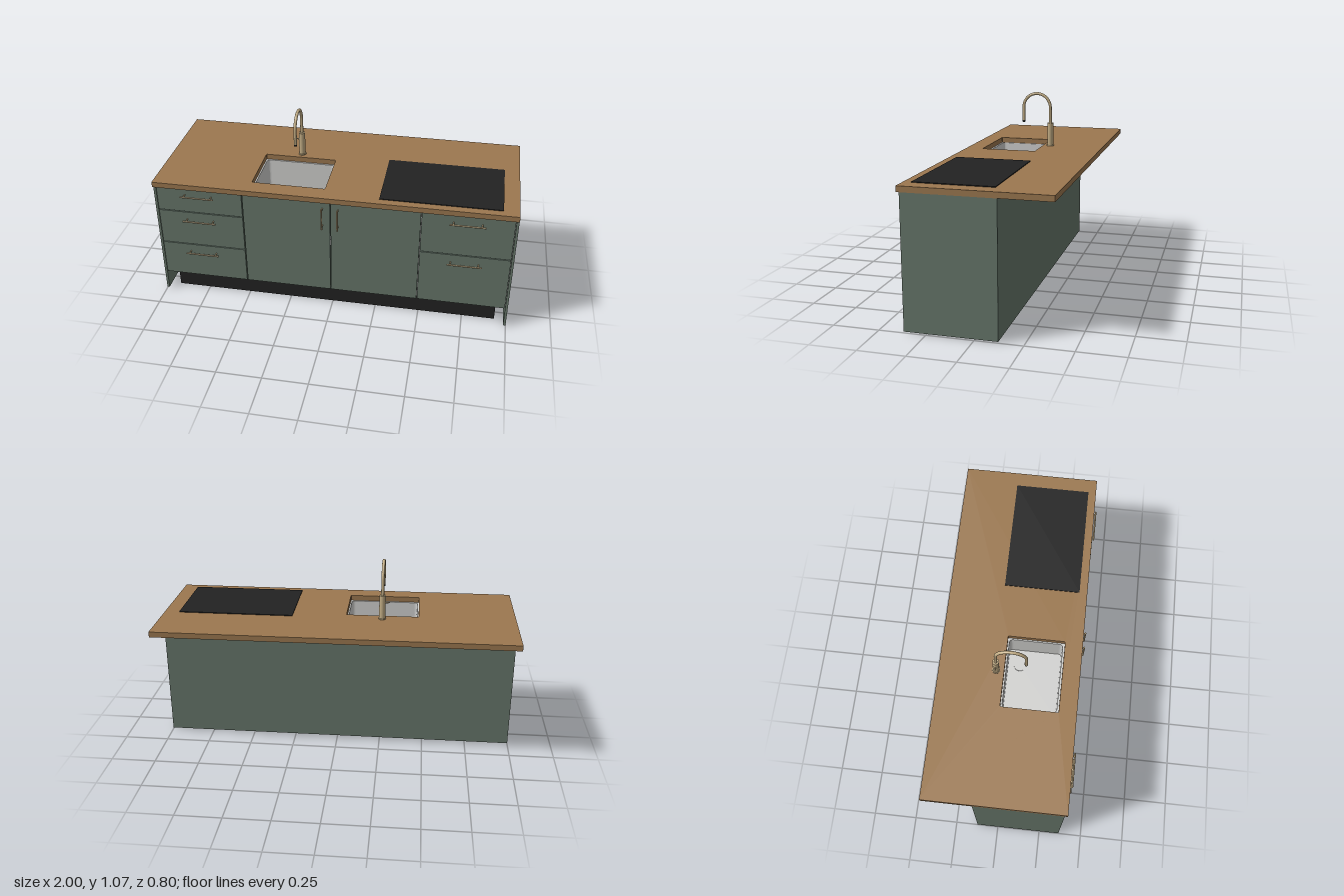
import * as THREE from 'three';

const mat = (name, color, extra = {}) => Object.assign(new THREE.MeshStandardMaterial({ color, ...extra }), { name });

export function createModel() {
  const green = mat('sage green paint', 0x67776b);
  const wood = mat('oak worktop', 0x9c7850);
  const black = mat('matt black', 0x222222);
  const brass = mat('brushed brass', 0xc2ad85);
  const steel = mat('sink steel', 0xd2d2d0);
  const grey = mat('carcass grey', 0xa8a8a8);

  const island = new THREE.Group();
  island.name = 'kitchenIsland';

  const add = (name, geo, material, parent = island) => {
    const mesh = new THREE.Mesh(geo, material);
    mesh.name = name;
    parent.add(mesh);
    return mesh;
  };
  // Box given by its extents on each axis
  const box = (name, m, x0, x1, y0, y1, z0, z1, parent) => {
    const mesh = add(name, new THREE.BoxGeometry(x1 - x0, y1 - y0, z1 - z0), m, parent);
    mesh.position.set((x0 + x1) / 2, (y0 + y1) / 2, (z0 + z1) / 2);
    return mesh;
  };
  // Rod between two points
  const rod = (name, m, a, b, r, parent, sides = 16) => {
    const p = new THREE.Vector3(...a), q = new THREE.Vector3(...b);
    const mesh = add(name, new THREE.CylinderGeometry(r, r, p.distanceTo(q), sides), m, parent);
    mesh.position.copy(p).add(q).multiplyScalar(0.5);
    mesh.quaternion.setFromUnitVectors(new THREE.Vector3(0, 1, 0), q.sub(p).normalize());
    return mesh;
  };
  // Rectangle in x and z with rounded corners
  const outline = (path, x0, x1, z0, z1, r) => {
    path.moveTo(x0 + r, z0).lineTo(x1 - r, z0).quadraticCurveTo(x1, z0, x1, z0 + r);
    path.lineTo(x1, z1 - r).quadraticCurveTo(x1, z1, x1 - r, z1);
    path.lineTo(x0 + r, z1).quadraticCurveTo(x0, z1, x0, z1 - r);
    path.lineTo(x0, z0 + r).quadraticCurveTo(x0, z0, x0 + r, z0);
    return path;
  };
  // Horizontal slab with a hole, hanging down from its top height
  const slab = (name, m, outer, hole, top, depth) => {
    const shape = outline(new THREE.Shape(), ...outer);
    shape.holes.push(outline(new THREE.Path(), ...hole));
    const geo = new THREE.ExtrudeGeometry(shape, { depth, bevelEnabled: false, curveSegments: 6 });
    add(name, geo.rotateX(Math.PI / 2), m).position.y = top;
  };

  // Worktop with sink cut-out, and hob
  slab('worktop', wood, [-1, 1, -0.398, 0.382, 0.001], [-0.455, -0.045, -0.037, 0.283, 0.006], 0.748, 0.031);
  box('hob', black, 0.26, 0.915, 0.746, 0.752, -0.09, 0.337);

  // Sink basin, floor and drain
  slab('sinkWalls', steel, [-0.465, -0.035, -0.047, 0.293, 0.01], [-0.447, -0.053, -0.028, 0.272, 0.02], 0.717, 0.17);
  box('sinkFloor', steel, -0.465, -0.035, 0.54, 0.55, -0.047, 0.293);
  rod('sinkDrain', steel, [-0.145, 0.548, 0.04], [-0.145, 0.554, 0.04], 0.034, island, 32);

  // Side and back panels
  for (const s of [-1, 1]) {
    box('sidePanel', green, Math.min(s, s * 0.986), Math.max(s, s * 0.986), 0.007, 0.717, -0.123, 0.366);
  }
  box('backPanel', green, -0.986, 0.986, 0.007, 0.717, -0.123, -0.109);

  // Three open carcasses: floor, sides and back
  const edges = [-0.986, -0.494, 0.491, 0.986];
  for (let i = 0; i < 3; i++) {
    const a = edges[i], b = edges[i + 1];
    box('carcassFloor', grey, a, b, 0.127, 0.14, -0.109, 0.347);
    for (const x of [a, b - 0.012]) box('carcassSide', grey, x, x + 0.012, 0.14, 0.708, -0.109, 0.347);
    box('carcassBack', grey, a + 0.012, b - 0.012, 0.14, 0.708, -0.109, -0.1);
  }

  // Recessed plinth, open underneath
  slab('plinth', black, [-0.935, 0.935, -0.092, 0.31, 0.001], [-0.919, 0.919, -0.076, 0.294, 0.001], 0.127, 0.127);

  // Bar handles on two posts
  const handle = (x, y, half, vertical) => {
    const g = new THREE.Group();
    g.name = 'handle';
    const at = (t, z) => (vertical ? [x, y + t, z] : [x + t, y, z]);
    rod('handleBar', brass, at(-half, 0.394), at(half, 0.394), 0.0048, g);
    for (const t of [-half * 0.8, half * 0.8]) rod('handlePost', brass, at(t, 0.364), at(t, 0.394), 0.0038, g);
    island.add(g);
  };

  // Drawer and door fronts: x and y extents
  const front = (name, x0, x1, y0, y1) => box(name, green, x0, x1, y0, y1, 0.348, 0.366);
  for (const [y0, y1, grip] of [[0.566, 0.711, 0.676], [0.346, 0.561, 0.515], [0.129, 0.341, 0.295]]) {
    front('drawerFront', -0.983, -0.497, y0, y1);
    handle(-0.745, grip, 0.095);
  }
  for (const [y0, y1, grip] of [[0.461, 0.711, 0.668], [0.129, 0.456, 0.408]]) {
    front('drawerFront', 0.493, 0.983, y0, y1);
    handle(0.738, grip, 0.095);
  }
  front('doorFront', -0.492, -0.003, 0.129, 0.711);
  front('doorFront', 0.001, 0.489, 0.129, 0.711);
  for (const x of [-0.045, 0.042]) handle(x, 0.62, 0.066, true);

  // Tap: flange, body, swan neck, nozzle and lever
  const tap = new THREE.Group();
  tap.name = 'tap';
  tap.position.set(-0.25, 0, 0);
  island.add(tap);
  rod('tapFlange', brass, [0, 0.748, -0.081], [0, 0.754, -0.081], 0.022, tap, 32);
  rod('tapBody', brass, [0, 0.754, -0.081], [0, 0.887, -0.081], 0.018, tap, 32);
  const neck = new THREE.CurvePath();
  const points = [new THREE.Vector3(0, 0.88, -0.081)];
  for (let i = 0; i <= 24; i++) {
    const t = Math.PI * i / 24;
    points.push(new THREE.Vector3(0, 0.978 + 0.082 * Math.sin(t), 0.002 - 0.082 * Math.cos(t)));
  }
  points.push(new THREE.Vector3(0, 0.897, 0.084));
  for (let i = 1; i < points.length; i++) neck.add(new THREE.LineCurve3(points[i - 1], points[i]));
  add('tapNeck', new THREE.TubeGeometry(neck, 64, 0.0088, 16), brass, tap);
  rod('tapNozzle', black, [0, 0.887, 0.084], [0, 0.898, 0.084], 0.0086, tap);
  rod('tapLever', brass, [-0.012, 0.842, -0.081], [-0.04, 0.846, -0.081], 0.0035, tap);

  return island;
}
